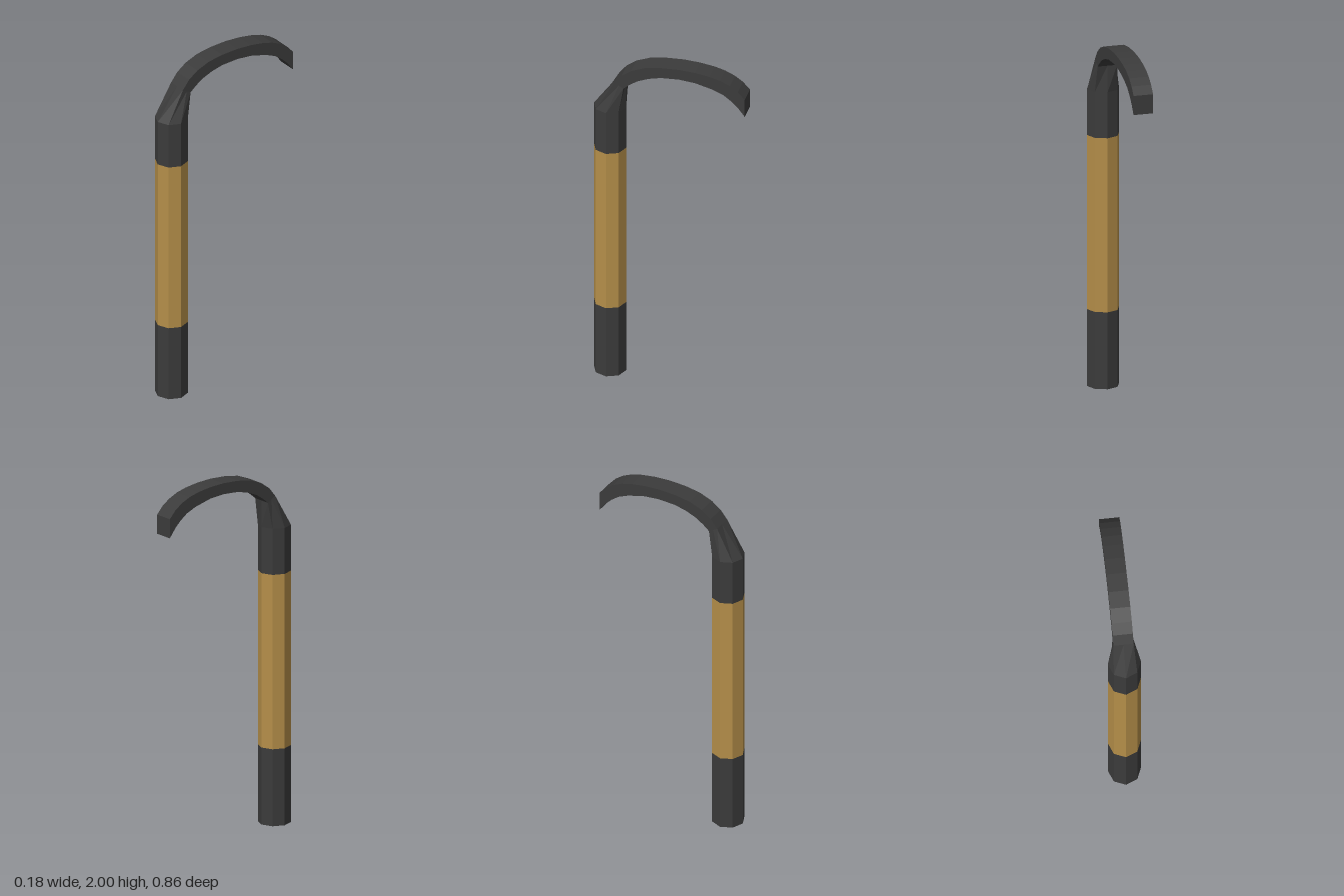
import * as THREE from 'three';

const RADIUS = 0.09, SHAFT_Z = 0.338, SIDES = 8, HALF_WIDTH = 0.055;

export function createModel() {
  const group = new THREE.Group();
  const darkMetal = new THREE.MeshStandardMaterial({ color: 0x3b3b3b, flatShading: true });
  darkMetal.name = 'darkMetal';
  const tanGrip = new THREE.MeshStandardMaterial({ color: 0xb48e49, flatShading: true });
  tanGrip.name = 'tanGrip';

  const add = (name, geometry, material) => {
    const mesh = new THREE.Mesh(geometry, material);
    mesh.name = name;
    group.add(mesh);
  };

  // Octagonal handle section between two heights
  const section = (y0, y1, open) =>
    new THREE.CylinderGeometry(RADIUS, RADIUS, y1 - y0, SIDES, 1, open)
      .translate(0, (y0 + y1) / 2, SHAFT_Z);

  add('handleBase', section(0, 0.435), darkMetal);
  add('grip', section(0.435, 1.42), tanGrip);
  add('handleTop', section(1.42, 1.68), darkMetal);

  // Neck: octagon below, drawn in to the slanted rectangular hook root above
  const neck = section(1.68, 1.86, true);
  const p = neck.attributes.position;
  for (let i = 0; i <= SIDES; i++) { // the top ring comes first
    const a = (i / SIDES) * Math.PI * 2;
    const x = Math.abs(Math.sin(a)) < 0.01 ? 0 : Math.sign(Math.sin(a)) * HALF_WIDTH;
    const c = Math.cos(a);
    const t = c > 0.5 ? 0 : c < -0.5 ? 1 : 0.5; // front, back, side
    p.setXYZ(i, x, 1.86 - 0.03 * t, 0.3 - 0.05 * t);
  }
  add('neck', neck, darkMetal);

  // Hook: curved bar profile as (z, y), extruded across x
  const outer = [
    [0.30, 1.86], [0.26, 1.91], [0.205, 1.95], [0.13, 1.98], [0.04, 1.995], [-0.06, 2],
    [-0.15, 1.995], [-0.23, 1.983], [-0.29, 1.967], [-0.345, 1.942], [-0.39, 1.91], [-0.428, 1.868],
  ];
  const inner = [
    [-0.428, 1.76], [-0.39, 1.81], [-0.355, 1.845], [-0.31, 1.878], [-0.25, 1.904], [-0.15, 1.93],
    [-0.06, 1.938], [0.04, 1.932], [0.11, 1.915], [0.17, 1.89], [0.215, 1.86], [0.25, 1.83],
  ];
  const profile = new THREE.Shape([...outer, ...inner].map(([z, y]) => new THREE.Vector2(z, y)));
  const hook = new THREE.ExtrudeGeometry(profile, { depth: HALF_WIDTH * 2, bevelEnabled: false })
    .translate(0, 0, -HALF_WIDTH)
    .rotateY(-Math.PI / 2);
  add('hook', hook, darkMetal);

  return group;
}
